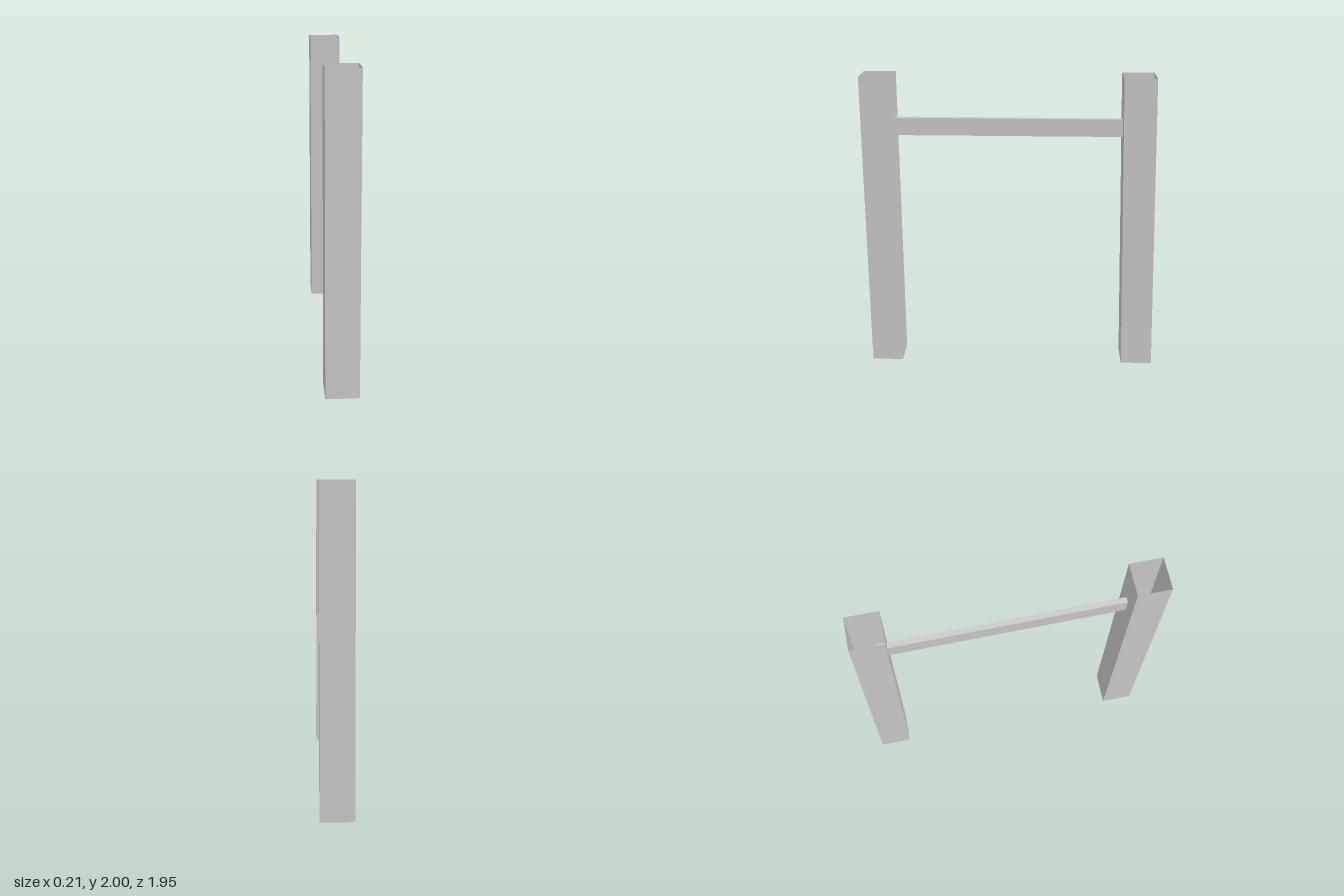
import * as THREE from 'three';

const HEIGHT = 2;
const HALF = 0.105; // half the width of a post

const material = new THREE.MeshStandardMaterial({ color: 0xcccccc, flatShading: true });
const openMaterial = new THREE.MeshStandardMaterial({
  color: 0xcccccc, flatShading: true, side: THREE.DoubleSide,
});

// Square hollow post, open at both ends, whose centre leans from zBottom to zTop
function makePost(name, zBottom, zTop) {
  const r = HALF * Math.SQRT2;
  const geometry = new THREE.CylinderGeometry(r, r, HEIGHT, 4, 1, true, Math.PI / 4);
  geometry.translate(0, HEIGHT / 2, 0);
  const pos = geometry.attributes.position;
  for (let i = 0; i < pos.count; i++) {
    const t = pos.getY(i) / HEIGHT;
    pos.setZ(i, pos.getZ(i) + THREE.MathUtils.lerp(zBottom, zTop, t));
  }
  geometry.computeVertexNormals();
  const post = new THREE.Mesh(geometry, openMaterial);
  post.name = name;
  return post;
}

export function createModel() {
  const model = new THREE.Group();
  model.name = 'postFrame';

  // Upright front post and slightly leaning back post
  model.add(makePost('frontPost', 0.873, 0.873));
  model.add(makePost('backPost', -0.87, -0.817));

  // Thin rail whose ends run just inside the posts
  const zBack = -0.78, zFront = 0.795;
  const rail = new THREE.Mesh(new THREE.BoxGeometry(0.036, 0.116, zFront - zBack), material);
  rail.position.set(0, 1.658, (zFront + zBack) / 2);
  rail.name = 'rail';
  model.add(rail);

  return model;
}
